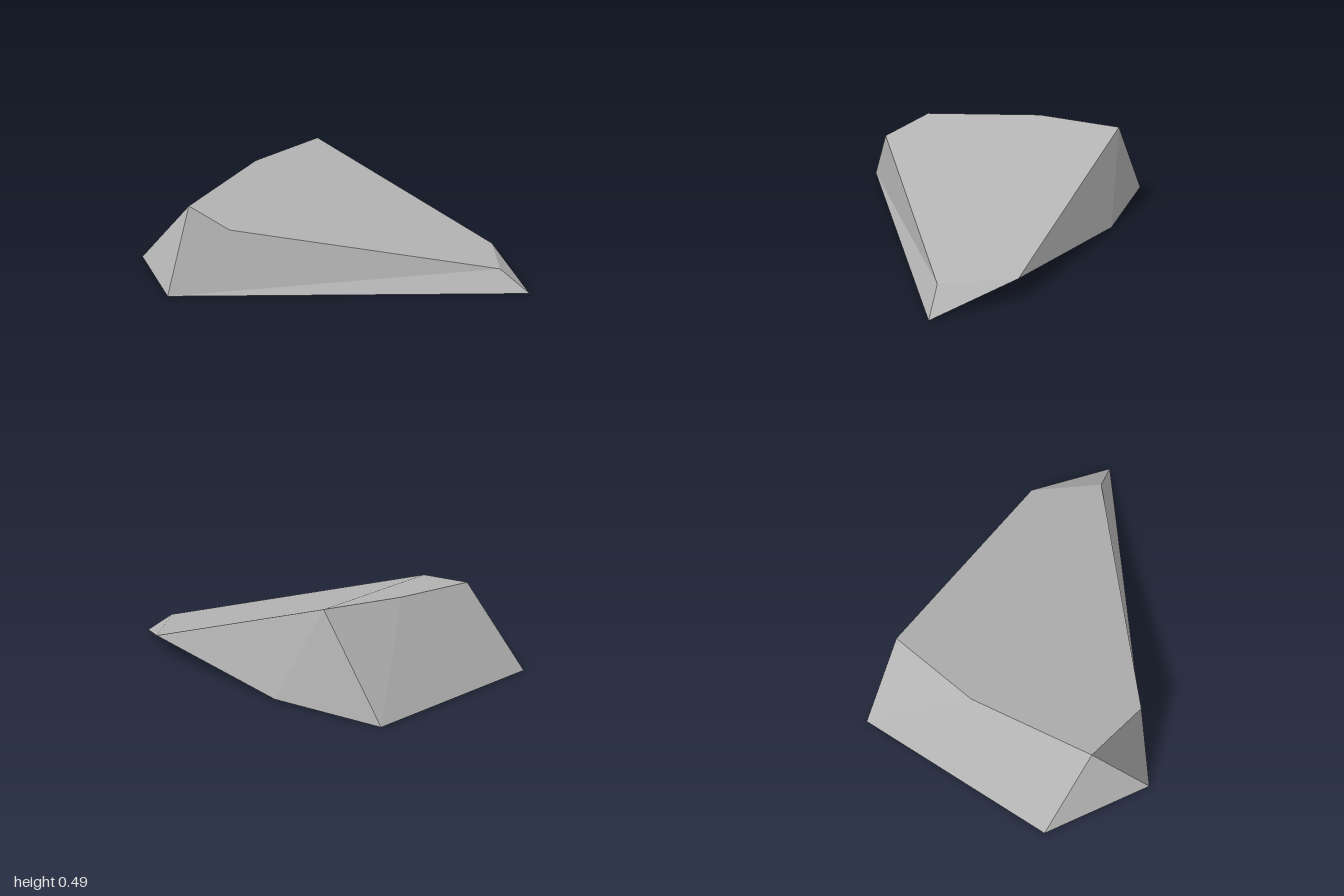
import * as THREE from 'three';

// Corners of the boulder
const P = {
  // ground outline
  groundLeft: [1.0, 0, -0.36],
  groundFront: [-0.5, 0, 0.765],
  groundRight: [-1.0, 0, 0.42],
  groundBackRight: [-0.975, 0.005, -0.715],
  groundBack: [-0.36, 0.01, -0.767],
  // upper rim
  rimBack: [-0.61, 0.49, -0.695],
  rimRight: [-0.68, 0.46, -0.2],
  rimFrontRight: [-0.6, 0.39, 0.465],
  rimFront: [-0.25, 0.355, 0.553],
  rimLeft: [0.84, 0.112, -0.325],
  rimBackLeft: [0.61, 0.108, -0.645],
};

// Facets, counter-clockwise from outside; each is fanned from its first corner
const FACETS = [
  ['rimFront', 'rimLeft', 'rimBackLeft', 'rimBack', 'rimRight', 'rimFrontRight'], // sloping top
  ['rimFront', 'rimFrontRight', 'groundFront', 'rimLeft'], // front
  ['groundFront', 'groundLeft', 'rimLeft'],
  ['groundRight', 'groundFront', 'rimFrontRight'],
  ['rimRight', 'groundBackRight', 'groundRight', 'rimFrontRight'], // right side
  ['groundBackRight', 'rimRight', 'rimBack'],
  ['rimBack', 'groundBack', 'groundBackRight'], // back
  ['rimBack', 'rimBackLeft', 'groundBack'],
  ['rimBackLeft', 'groundLeft', 'groundBack'],
  ['rimBackLeft', 'rimLeft', 'groundLeft'], // left tip
  ['groundFront', 'groundRight', 'groundBackRight', 'groundBack', 'groundLeft'], // underside
];

// Builds flat facets; every facet shares one averaged normal
function facetGeometry(facets) {
  const position = [];
  const normal = [];
  for (const names of facets) {
    const pts = names.map((n) => new THREE.Vector3(...P[n]));
    const n = new THREE.Vector3();
    let count = 0;
    for (let i = 1; i < pts.length - 1; i++) {
      const [a, b, c] = [pts[0], pts[i], pts[i + 1]];
      n.add(b.clone().sub(a).cross(c.clone().sub(a)));
      for (const p of [a, b, c]) position.push(p.x, p.y, p.z);
      count += 3;
    }
    n.normalize();
    for (let i = 0; i < count; i++) normal.push(n.x, n.y, n.z);
  }
  const geometry = new THREE.BufferGeometry();
  geometry.setAttribute('position', new THREE.Float32BufferAttribute(position, 3));
  geometry.setAttribute('normal', new THREE.Float32BufferAttribute(normal, 3));
  return geometry;
}

export function createModel() {
  const stone = new THREE.MeshStandardMaterial({ color: 0xb4b4b4 });
  stone.name = 'stone grey';

  const boulder = new THREE.Mesh(facetGeometry(FACETS), stone);
  boulder.name = 'boulder';

  const group = new THREE.Group();
  group.name = 'rock';
  group.add(boulder);
  return group;
}
